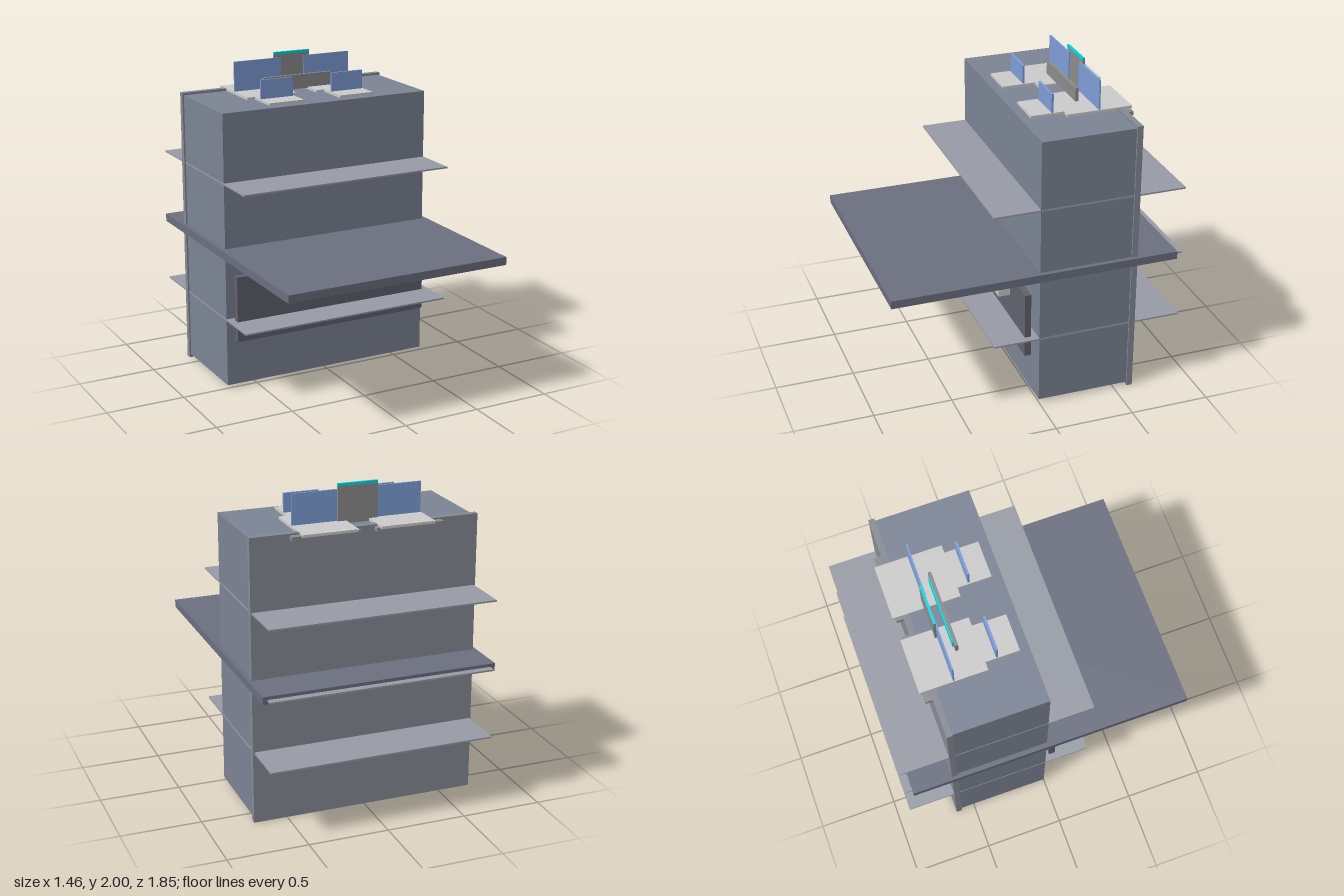
import * as THREE from 'three';

const mat = (color) => new THREE.MeshStandardMaterial({ color });

export function createModel() {
  const model = new THREE.Group();
  const body = mat(0x7c8494), desk = mat(0x6b7080), shelf = mat(0x989ca6), frame = mat(0x868b94);
  const pale = mat(0xcccccc), dark = mat(0x62626f), grey = mat(0x8c8c8c);
  const blue = mat(0x7f9fd8), cyan = mat(0x00d5e0);

  // Box given by its extents along each axis
  const box = (name, material, [x0, x1], [y0, y1], [z0, z1]) => {
    const mesh = new THREE.Mesh(new THREE.BoxGeometry(x1 - x0, y1 - y0, z1 - z0), material);
    mesh.position.set((x0 + x1) / 2, (y0 + y1) / 2, (z0 + z1) / 2);
    mesh.name = name;
    model.add(mesh);
    return mesh;
  };

  // Cabinet and back panel
  box('cabinet', body, [-0.7, 0.7], [0.02, 1.76], [-0.59, 0]);
  box('backPanel', frame, [-0.71, 0.71], [0, 1.775], [-0.625, -0.588]);

  // Thin shelves passing through the cabinet; the middle one lies inside the desk top
  for (const y of [0.455, 0.89, 1.325]) {
    box('shelf', shelf, [-0.702, 0.702], [y - 0.005, y + 0.005], [-0.925, 0.29]);
  }
  box('deskTop', desk, [-0.73, 0.73], [0.865, 0.915], [-0.88, 0.925]);

  // Front board, box and knob under the desk
  box('frontBoard', dark, [-0.66, 0.66], [0.33, 0.75], [0.04, 0.08]);
  box('controlBox', pale, [0.12, 0.395], [0.615, 0.82], [0, 0.155]);
  const knob = new THREE.Mesh(new THREE.CylinderGeometry(0.041, 0.041, 0.017, 32), grey);
  knob.rotation.x = Math.PI / 2;
  knob.position.set(0.258, 0.715, 0.163);
  knob.name = 'knob';
  model.add(knob);

  // Mirrored trays, rear bars and upright screens
  const pair = (name, material, [a, b], y, z) => {
    box(name, material, [a, b], y, z);
    box(name, material, [-b, -a], y, z);
  };
  const outline = [[0.07, -0.685], [0.41, -0.685], [0.41, -0.27], [0.36, -0.27],
    [0.36, -0.06], [0.125, -0.06], [0.125, -0.27], [0.07, -0.27]];
  for (const side of [1, -1]) {
    const shape = new THREE.Shape(outline.map(([x, z]) => new THREE.Vector2(side * x, -z)));
    const tray = new THREE.Mesh(new THREE.ExtrudeGeometry(shape, { depth: 0.016, bevelEnabled: false }), pale);
    tray.rotation.x = -Math.PI / 2;
    tray.position.y = 1.76;
    tray.name = 'tray';
    model.add(tray);
  }
  pair('rearBar', grey, [0.05, 0.47], [1.74, 1.765], [-0.668, -0.625]);
  pair('largeScreen', blue, [0.08, 0.405], [1.77, 1.965], [-0.481, -0.472]);
  pair('smallScreen', blue, [0.135, 0.355], [1.77, 1.895], [-0.204, -0.191]);

  // Centre panel and front board with bright strips
  box('centrePanel', grey, [-0.125, 0.125], [1.76, 1.985], [-0.494, -0.479]);
  box('topStrip', cyan, [-0.125, 0.125], [1.985, 2], [-0.492, -0.477]);
  box('lowBoard', grey, [-0.24, 0.24], [1.77, 1.862], [-0.409, -0.39]);
  box('lowBoardStrip', cyan, [-0.21, 0.21], [1.776, 1.85], [-0.417, -0.408]);

  return model;
}
